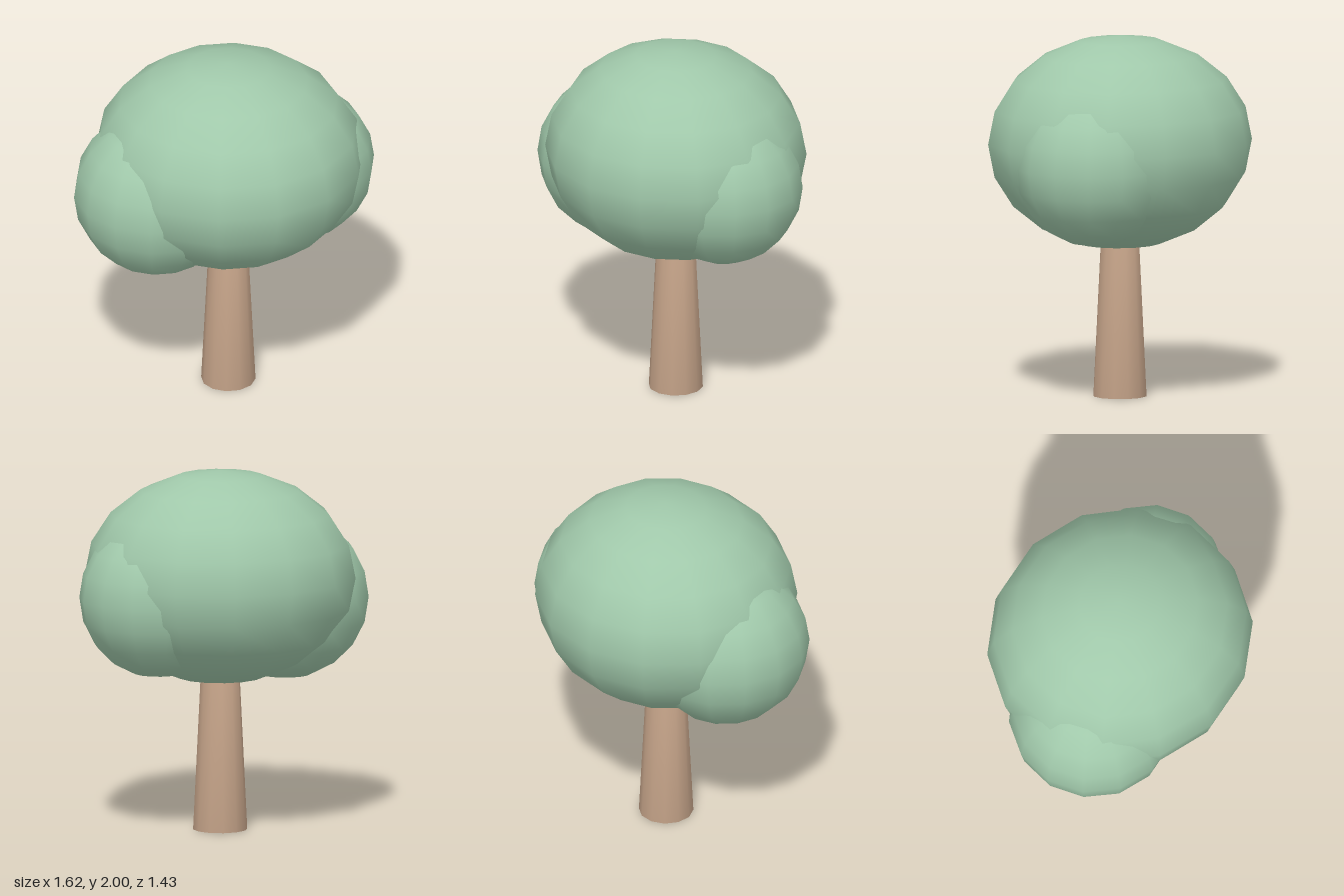
import * as THREE from 'three';
import { mergeVertices } from 'three/addons/utils/BufferGeometryUtils.js';

const leafGreen = new THREE.MeshStandardMaterial({ color: 0xa0c8aa });
leafGreen.name = 'leafGreen';
const barkBrown = new THREE.MeshStandardMaterial({ color: 0xc8a68b });
barkBrown.name = 'barkBrown';

// Weld all seams so the shading runs smoothly over every edge
function smooth(geometry) {
  geometry.deleteAttribute('normal');
  geometry.deleteAttribute('uv');
  const welded = mergeVertices(geometry, 1e-4);
  welded.computeVertexNormals();
  return welded;
}

function addPart(group, name, geometry, material, position) {
  const mesh = new THREE.Mesh(smooth(geometry), material);
  mesh.name = name;
  mesh.position.set(...position);
  group.add(mesh);
}

// Low-poly ellipsoid of leaves, with vertices on the z axis
function leafBall(rx, ry, rz) {
  return new THREE.SphereGeometry(1, 14, 10).rotateY(Math.PI / 2).scale(rx, ry, rz);
}

export function createModel() {
  const tree = new THREE.Group();
  tree.name = 'tree';

  // Tapered trunk, its top hidden in the crown
  addPart(tree, 'trunk', new THREE.CylinderGeometry(0.105, 0.15, 0.92, 12), barkBrown, [0.02, 0.46, 0]);

  // Crown: one large mass and two side clumps
  addPart(tree, 'mainCrown', leafBall(0.75, 0.59, 0.715), leafGreen, [0.02, 1.41, 0]);
  addPart(tree, 'rightClump', leafBall(0.462, 0.46, 0.465), leafGreen, [-0.36, 1.268, 0.17]);
  addPart(tree, 'leftClump', leafBall(0.436, 0.436, 0.436), leafGreen, [0.38, 1.316, -0.14]);

  return tree;
}
